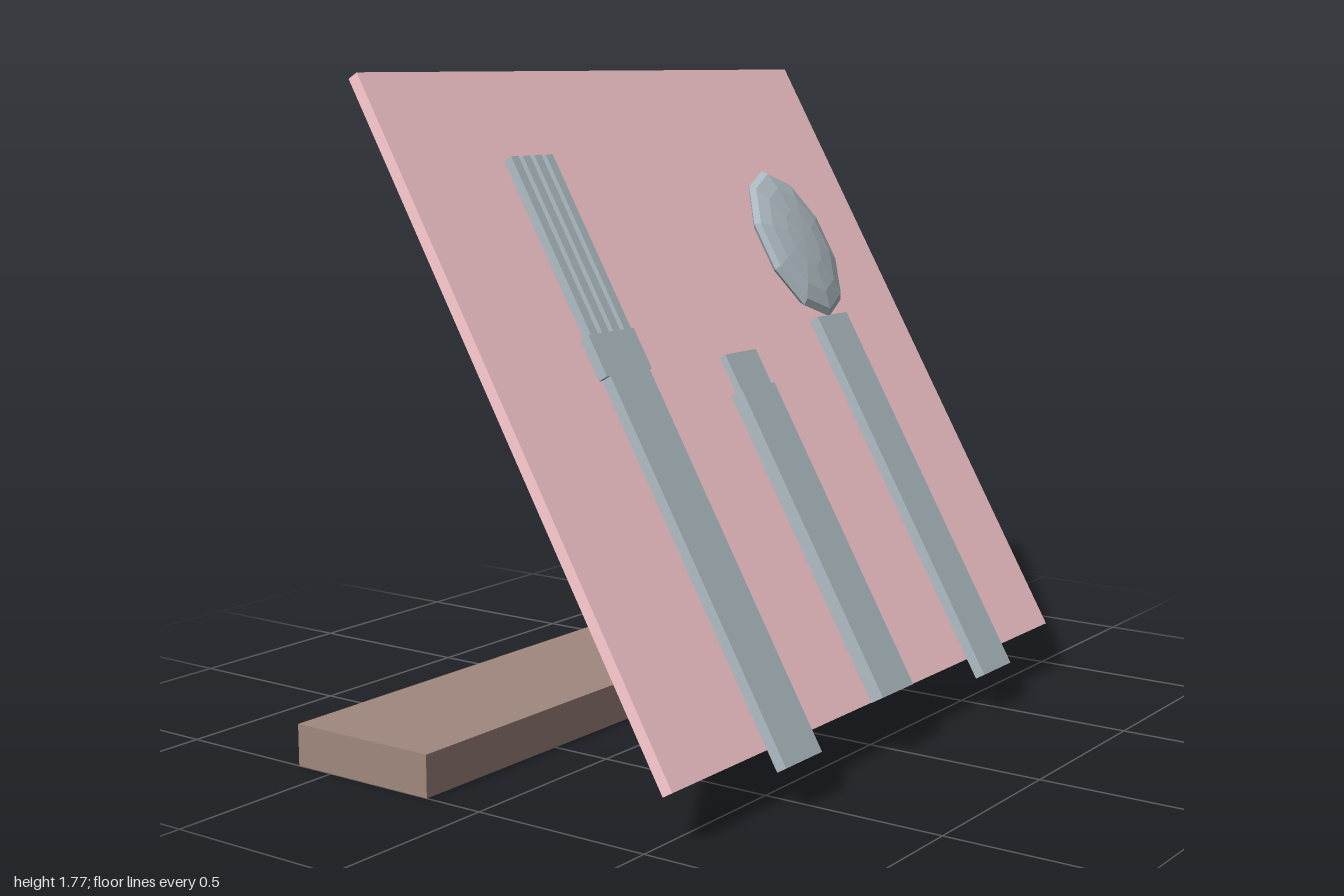
import * as THREE from 'three';

const material = (color) => new THREE.MeshStandardMaterial({ color, flatShading: true });

export function createModel() {
  const model = new THREE.Group();
  const pink = material(0xffcdd2);
  const steel = material(0xb0bec5);
  const wood = material(0xa1887f);

  // Box given by its ranges along x, y and z
  const box = (parent, name, mat, [x0, x1], [y0, y1], [z0, z1]) => {
    const mesh = new THREE.Mesh(new THREE.BoxGeometry(x1 - x0, y1 - y0, z1 - z0), mat);
    mesh.position.set((x0 + x1) / 2, (y0 + y1) / 2, (z0 + z1) / 2);
    mesh.name = name;
    parent.add(mesh);
  };
  const addGroup = (parent, name) => {
    const group = new THREE.Group();
    group.name = name;
    parent.add(group);
    return group;
  };

  // Flat plank behind the leaning board
  box(model, 'base', wood, [-1, 1], [0, 0.112], [-0.613, -0.17]);

  // Everything on the board shares its 30 degree backward lean
  const leaning = addGroup(model, 'leaningBoard');
  leaning.position.set(0, 0.946, 0.054);
  leaning.rotation.x = -Math.PI / 6;
  box(leaning, 'board', pink, [-0.943, 0.943], [-0.943, 0.943], [-0.016, 0.016]);

  // Fork: handle, wider head, four tines
  const fork = addGroup(leaning, 'fork');
  box(fork, 'forkHandle', steel, [-0.581, -0.42], [-1.002, 0.06], [0.038, 0.068]);
  box(fork, 'forkHead', steel, [-0.595, -0.41], [0.052, 0.167], [0.038, 0.068]);
  for (let i = 0; i < 4; i++) {
    const x = -0.57 + i * 0.0455;
    box(fork, 'forkTine', steel, [x - 0.014, x + 0.014], [0.16, 0.67], [0.04, 0.067]);
  }

  // Knife: handle with a short, thinner blade stub
  const knife = addGroup(leaning, 'knife');
  box(knife, 'knifeHandle', steel, [-0.08, 0.076], [-0.944, -0.052], [0.028, 0.068]);
  box(knife, 'knifeBlade', steel, [-0.069, 0.076], [-0.06, 0.054], [0.038, 0.058]);

  // Spoon: handle and a faceted, flattened bowl
  const spoon = addGroup(leaning, 'spoon');
  box(spoon, 'spoonHandle', steel, [0.42, 0.575], [-1.002, 0.11], [0.038, 0.068]);
  const bowlShape = new THREE.SphereGeometry(1, 10, 8);
  bowlShape.rotateX(Math.PI / 2).rotateZ(Math.PI / 10).scale(0.166, 0.237, 0.036);
  const bowl = new THREE.Mesh(bowlShape, steel);
  bowl.name = 'spoonBowl';
  bowl.position.set(0.498, 0.347, 0.056);
  spoon.add(bowl);

  return model;
}
